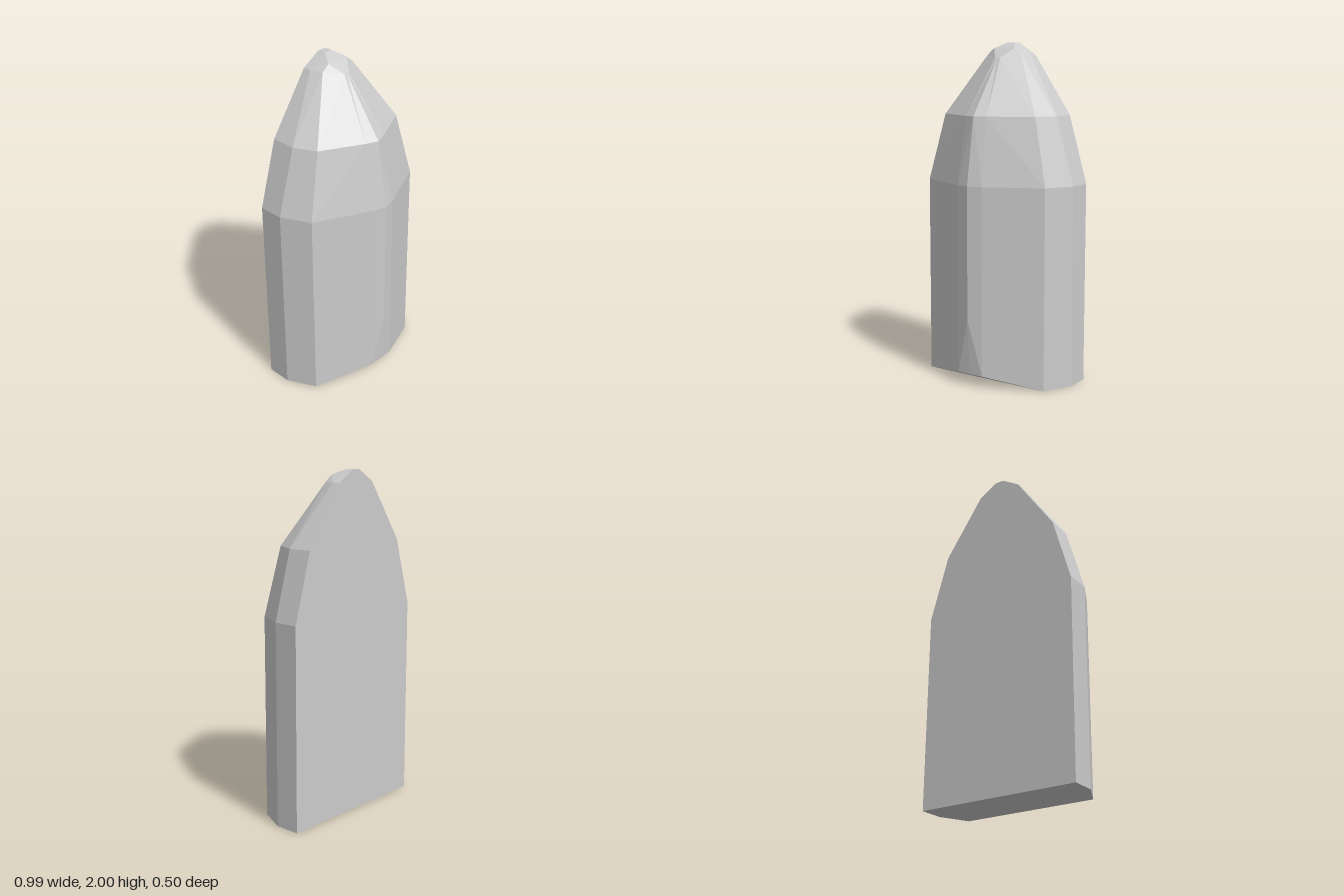
import * as THREE from 'three';

// Full-size outline of one half, from the back centre round to the front centre: [x, z]
const OUTLINE = [[0, -0.25], [0.495, -0.25], [0.495, -0.1], [0.412, 0.07], [0.085, 0.225], [0, 0.25]];
const level = (y) => OUTLINE.map(([x, z]) => [x, y, z]);

// Half cross-sections from the underside to the tip
function halfSections() {
  // Bottom edge rises to a chamfer at the front
  const foot = level(0);
  foot[4] = [0.085, 0.07, 0.225];
  foot[5] = [0, 0.07, 0.228];
  return [
    foot.map(([, y, z]) => [0, y, z]), // underside centre line
    foot,
    level(0.4),
    level(1.185),
    [[0, 1.58, -0.25], [0.38, 1.58, -0.25], [0.38, 1.58, -0.1], [0.318, 1.58, 0.03], [0.07, 1.58, 0.157], [0, 1.58, 0.185]],
    [[0, 1.93, -0.25], [0.14, 1.93, -0.25], [0.14, 1.93, -0.2], [0.117, 1.93, -0.127], [0.018, 1.91, -0.057], [0, 1.91, -0.057]],
    [[0, 2, -0.25], [0.027, 2, -0.25], [0.027, 2, -0.2], [0.072, 1.967, -0.127], [0.072, 1.967, -0.127], [0, 1.967, -0.127]],
    [[0, 2, -0.25], [0, 2, -0.25], [0, 2, -0.2], [0, 1.967, -0.127], [0, 1.967, -0.127], [0, 1.967, -0.127]],
  ];
}

// Skin the sections and mirror every triangle across x = 0
function mirroredLoft(sections) {
  const positions = [];
  const tri = (...points) => {
    const [a, b, c] = points.map((p) => new THREE.Vector3(...p));
    if (b.clone().sub(a).cross(c.clone().sub(a)).length() < 1e-7) return; // collapsed corner
    for (const p of [a, b, c]) positions.push(p.x, p.y, p.z);
    for (const p of [a, c, b]) positions.push(-p.x, p.y, p.z);
  };
  for (let i = 0; i < sections.length - 1; i++) {
    const low = sections[i], high = sections[i + 1];
    for (let j = 0; j < low.length - 1; j++) {
      tri(low[j], high[j], high[j + 1]);
      tri(low[j], high[j + 1], low[j + 1]);
    }
  }
  const geometry = new THREE.BufferGeometry();
  geometry.setAttribute('position', new THREE.Float32BufferAttribute(positions, 3));
  geometry.computeVertexNormals();
  return geometry;
}

export function createModel() {
  const group = new THREE.Group();
  group.name = 'pointedHalfColumn';
  const material = new THREE.MeshStandardMaterial({ color: 0xcccccc, flatShading: true });
  const body = new THREE.Mesh(mirroredLoft(halfSections()), material);
  body.name = 'facetedBody';
  group.add(body);
  return group;
}
